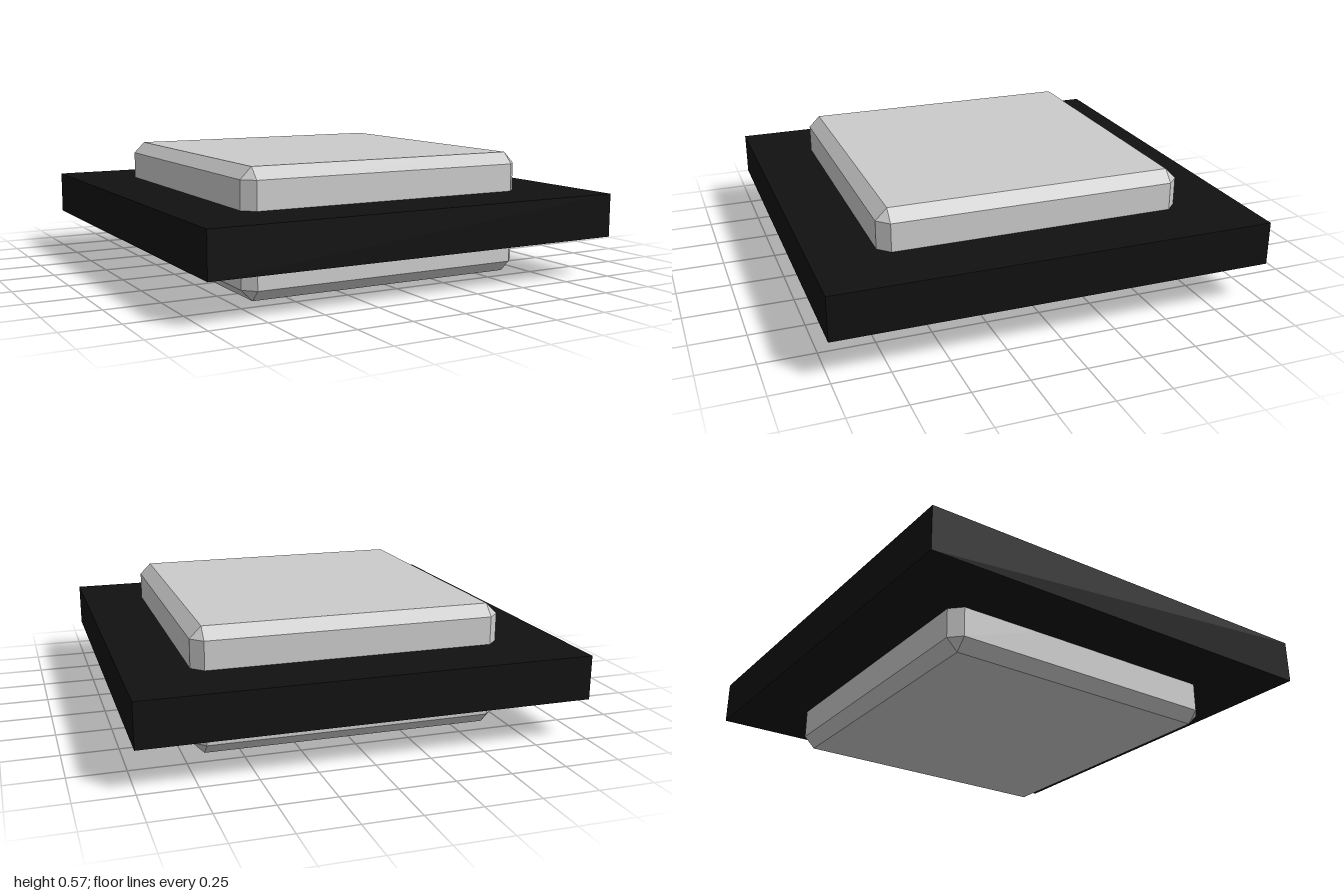
import * as THREE from 'three';
import { ConvexGeometry } from 'three/addons/geometries/ConvexGeometry.js';

// Box with every edge and corner cut flat by the chamfer c
function chamferedBox(w, h, d, c) {
  const half = [w / 2, h / 2, d / 2];
  const points = [];
  for (const sx of [-1, 1]) for (const sy of [-1, 1]) for (const sz of [-1, 1]) {
    // Each corner becomes three points, one on each adjoining face
    for (let face = 0; face < 3; face++) {
      const [x, y, z] = half.map((v, axis) => (axis === face ? v : v - c));
      points.push(new THREE.Vector3(sx * x, sy * y, sz * z));
    }
  }
  return new ConvexGeometry(points);
}

export function createModel() {
  const group = new THREE.Group();

  const add = (name, geometry, color, y) => {
    const material = new THREE.MeshStandardMaterial({ color, flatShading: true });
    const mesh = new THREE.Mesh(geometry, material);
    mesh.name = name;
    mesh.position.y = y;
    group.add(mesh);
  };

  // Chamfered block passing through the plate
  add('block', chamferedBox(1.414, 0.566, 1.414, 0.052), 0xcccccc, 0.283);
  // Wide dark plate around its middle
  add('plate', new THREE.BoxGeometry(2, 0.2, 2), 0x111111, 0.286);

  return group;
}
